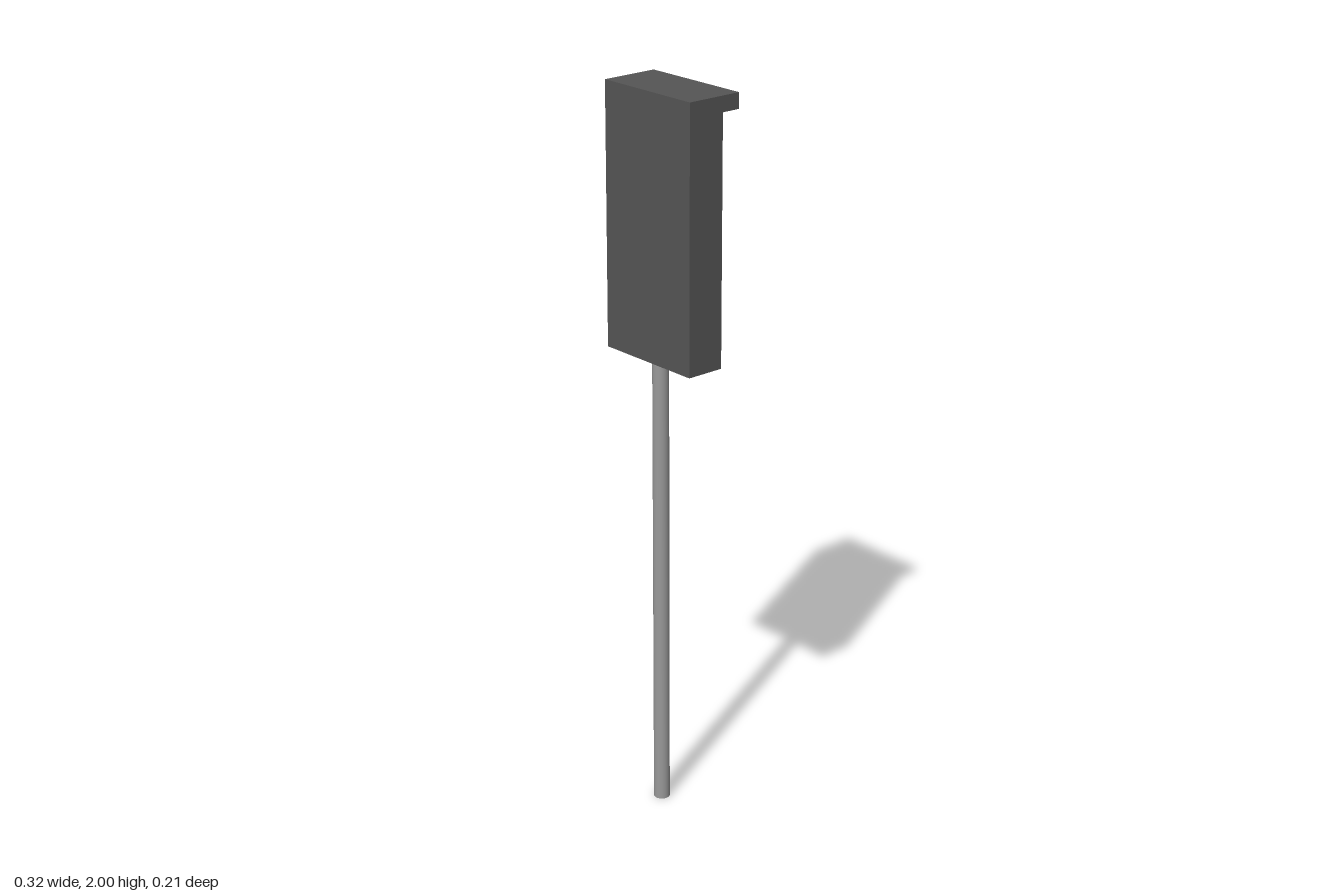
import * as THREE from 'three';

export function createModel() {
  const model = new THREE.Group();
  const paint = (color) => new THREE.MeshStandardMaterial({ color });
  const dark = paint(0x555555);
  const metal = paint(0x999999);
  const unlit = paint(0x808080);
  const red = paint(0xdd1111);

  const add = (name, geometry, material, x, y, z) => {
    const mesh = new THREE.Mesh(geometry, material);
    mesh.name = name;
    mesh.position.set(x, y, z);
    model.add(mesh);
    return mesh;
  };

  // Round post under the signal box
  const boxBottom = 1.29;
  add('post', new THREE.CylinderGeometry(0.022, 0.022, boxBottom, 32), metal, 0, boxBottom / 2, 0.06);

  // Signal box with a flat visor lip over the lamps
  const width = 0.322, front = 0.103, back = -0.005, lip = -0.058;
  add('signalBox', new THREE.BoxGeometry(width, 2 - boxBottom, front - back), dark,
    0, (2 + boxBottom) / 2, (front + back) / 2);
  add('visor', new THREE.BoxGeometry(width, 0.042, back - lip), dark, 0, 1.979, (back + lip) / 2);

  // Domed lamps bulging out of the back face
  const lamps = [
    ['topLamp', 1.833, 0.075, -0.006, unlit],
    ['middleLamp', 1.624, 0.079, -0.025, unlit],
    ['bottomLamp', 1.417, 0.079, -0.025, red],
  ];
  for (const [name, y, radius, z, material] of lamps) {
    add(name, new THREE.SphereGeometry(radius, 40, 24), material, 0, y, z);
  }

  return model;
}
